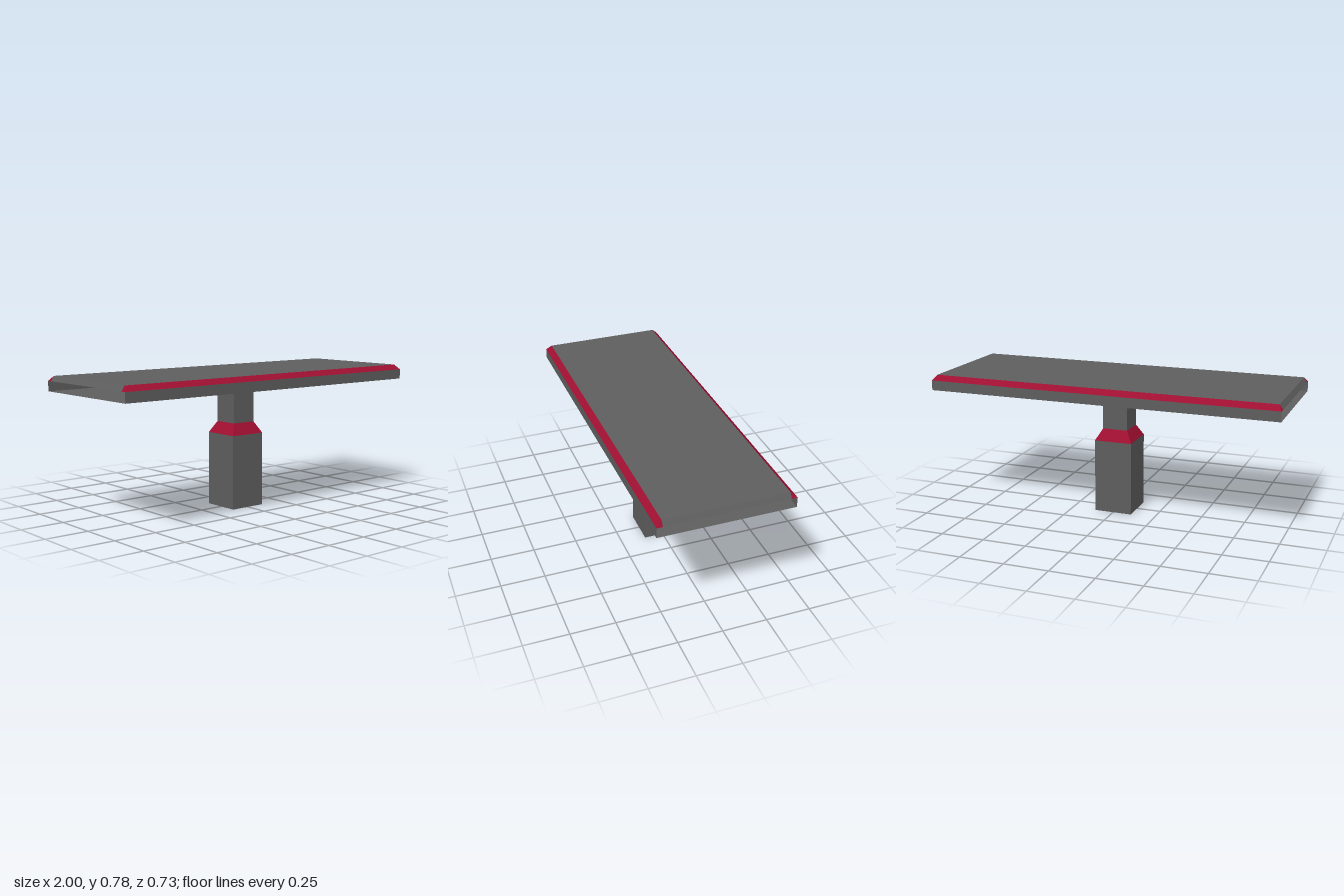
import * as THREE from 'three';

const grey = new THREE.MeshStandardMaterial({ color: 0x5e5e5e, side: THREE.DoubleSide });
const red = new THREE.MeshStandardMaterial({ color: 0xa00f31, side: THREE.DoubleSide });
grey.name = 'darkGrey';
red.name = 'crimson';

// Flat convex faces, each a list of corners in counter-clockwise order
function faces(name, material, polygons) {
  const positions = [];
  for (const p of polygons) {
    for (let i = 1; i < p.length - 1; i++) positions.push(...p[0], ...p[i], ...p[i + 1]);
  }
  const geometry = new THREE.BufferGeometry();
  geometry.setAttribute('position', new THREE.Float32BufferAttribute(positions, 3));
  geometry.computeVertexNormals();
  const mesh = new THREE.Mesh(geometry, material);
  mesh.name = name;
  return mesh;
}

// Open square tube between two heights
function squareTube(name, material, y0, half0, y1, half1) {
  const ring = (y, h) => [[-h, y, h], [h, y, h], [h, y, -h], [-h, y, -h]];
  const a = ring(y0, half0), b = ring(y1, half1);
  return faces(name, material, a.map((p, i) => [p, a[(i + 1) % 4], b[(i + 1) % 4], b[i]]));
}

// Half turn about the vertical axis, for the opposite side
const turned = (polygons) => polygons.map((p) => p.map(([x, y, z]) => [-x, y, -z]));
const bothSides = (polygons) => [...polygons, ...turned(polygons)];

export function createModel() {
  const model = new THREE.Group();
  model.name = 'pedestalTable';

  // Pedestal, open at the foot
  const pedestal = new THREE.Group();
  pedestal.name = 'pedestal';
  pedestal.add(
    squareTube('pedestalBase', grey, 0, 0.109, 0.421, 0.109),
    squareTube('pedestalCollar', red, 0.421, 0.109, 0.486, 0.073),
    squareTube('pedestalNeck', grey, 0.486, 0.073, 0.697, 0.073),
  );

  // Table top: hollow, with open ends and a bevelled upper edge
  const X = 1, Z = 0.366, x = 0.982, z = 0.334;
  const low = 0.697, mid = 0.753, high = 0.781;
  const top = new THREE.Group();
  top.name = 'tableTop';
  top.add(
    faces('topSurface', grey, [[[-x, high, z], [x, high, z], [x, high, -z], [-x, high, -z]]]),
    faces('underside', grey, [[[-X, low, -Z], [X, low, -Z], [X, low, Z], [-X, low, Z]]]),
    faces('longEdges', grey, bothSides([[[-X, low, Z], [X, low, Z], [X, mid, Z], [-X, mid, Z]]])),
    faces('endBevels', grey, bothSides([[[X, mid, z], [X, mid, -z], [x, high, -z], [x, high, z]]])),
    // Long bevels with their corner triangles
    faces('longBevels', red, bothSides([
      [[-X, mid, Z], [X, mid, Z], [x, high, z], [-x, high, z]],
      [[X, mid, Z], [X, mid, z], [x, high, z]],
      [[-X, mid, z], [-X, mid, Z], [-x, high, z]],
    ])),
  );

  model.add(pedestal, top);
  return model;
}
